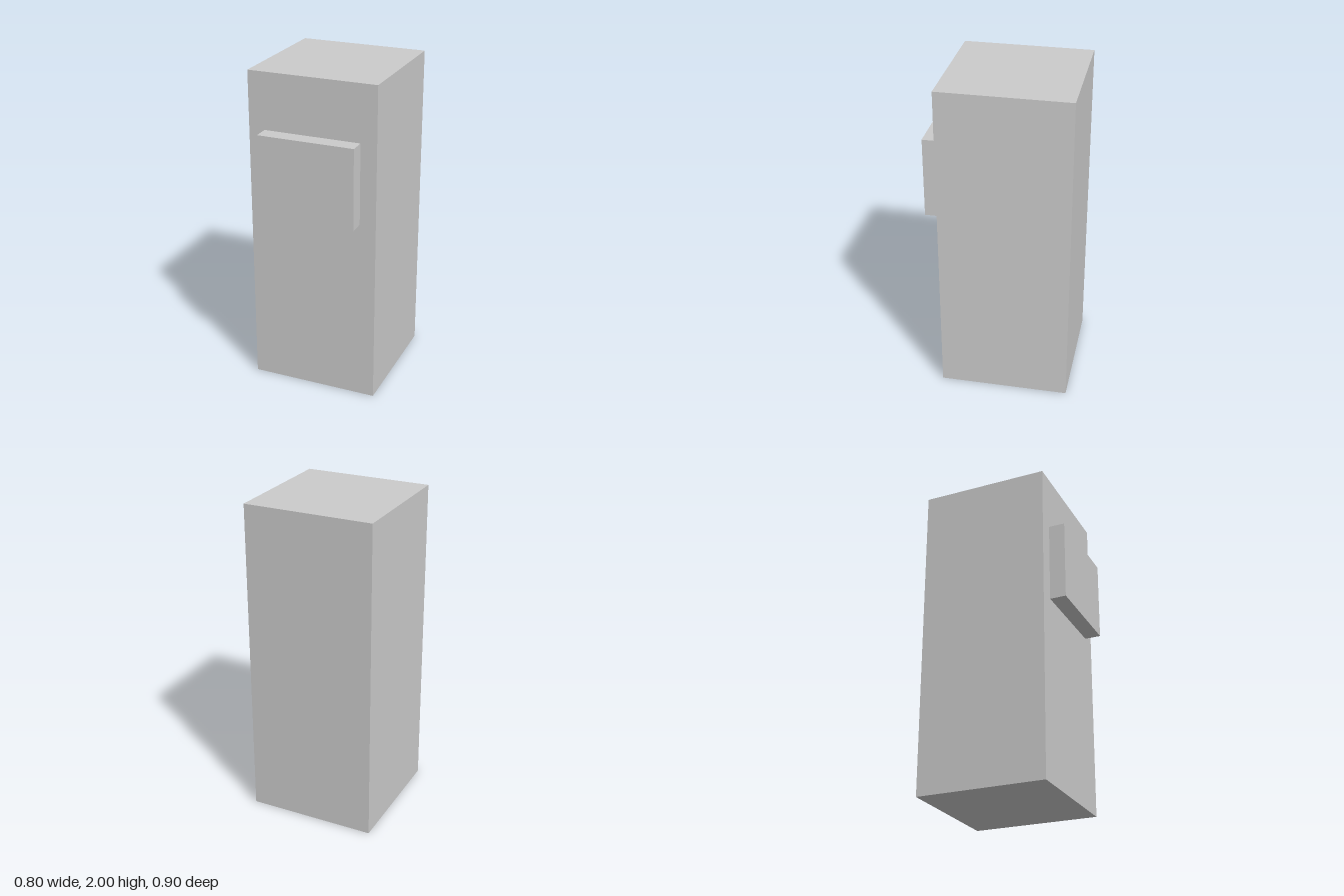
import * as THREE from 'three';

export function createModel() {
  const group = new THREE.Group();
  const material = new THREE.MeshStandardMaterial({ color: 0xcccccc });

  const addBox = (name, [w, h, d], [x, y, z]) => {
    const mesh = new THREE.Mesh(new THREE.BoxGeometry(w, h, d), material);
    mesh.name = name;
    mesh.position.set(x, y, z);
    group.add(mesh);
  };

  // Tall cabinet body
  addBox('cabinet', [0.8, 2, 0.8], [0, 1, -0.05]);
  // Raised panel on the upper front
  addBox('frontPanel', [0.6, 0.5, 0.1], [0, 1.4, 0.4]);

  return group;
}
